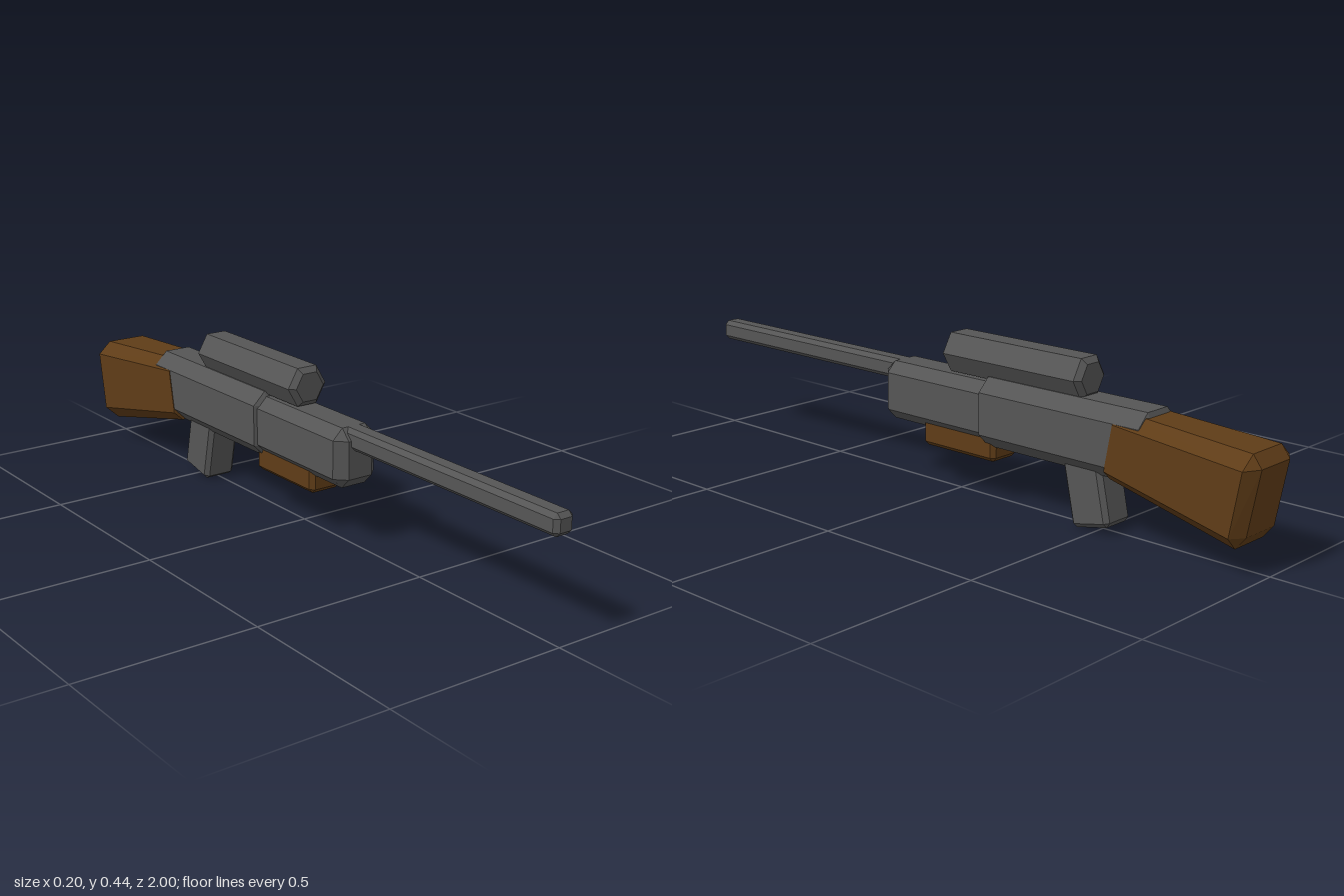
import * as THREE from 'three';
import { ConvexGeometry } from 'three/addons/geometries/ConvexGeometry.js';

const metal = new THREE.MeshStandardMaterial({ color: 0x555555, flatShading: true });
const wood = new THREE.MeshStandardMaterial({ color: 0x5f3c17, flatShading: true });

// Box with all edges chamfered: hull of its six inset faces
function bevelBox(w, h, d, b, bz = b) {
  const pts = [];
  const [x, y, z] = [w / 2, h / 2, d / 2];
  for (const sx of [-1, 1]) for (const sy of [-1, 1]) for (const sz of [-1, 1]) {
    pts.push(
      new THREE.Vector3(sx * x, sy * (y - b), sz * (z - bz)),
      new THREE.Vector3(sx * (x - b), sy * y, sz * (z - bz)),
      new THREE.Vector3(sx * (x - b), sy * (y - b), sz * z)
    );
  }
  return new ConvexGeometry(pts);
}

// Hull of points mirrored across x = 0
function mirroredHull(points) {
  return new ConvexGeometry(points.flatMap(([x, y, z]) => [
    new THREE.Vector3(x, y, z), new THREE.Vector3(-x, y, z)
  ]));
}

export function createModel() {
  const group = new THREE.Group();
  const add = (name, geometry, material, y = 0, z = 0) => {
    const mesh = new THREE.Mesh(geometry, material);
    mesh.name = name;
    mesh.position.set(0, y, z);
    group.add(mesh);
    return mesh;
  };

  // Barrel, front housing and receiver along the z axis
  add('barrel', bevelBox(0.06, 0.058, 0.85, 0.012), metal, 0.309, 0.575);
  add('frontHousing', bevelBox(0.136, 0.166, 0.5, 0.03), metal, 0.255, 0);
  add('receiver', bevelBox(0.154, 0.19, 0.557, 0.037, 0.016), metal, 0.257, -0.3965);

  // Wooden grip under the front housing
  add('foreGrip', bevelBox(0.1, 0.1, 0.265, 0.012), wood, 0.169, -0.03);

  // Slanted lower grip
  add('lowerGrip', bevelBox(0.1, 0.24, 0.122, 0.012), metal, 0.133, -0.468).rotation.x = 0.21;

  // Hexagonal scope with chamfered ends
  const scopeProfile = [[0, -0.24], [0.045, -0.24], [0.062, -0.226],
    [0.062, 0.226], [0.045, 0.24], [0, 0.24]].map(([r, l]) => new THREE.Vector2(r, l));
  const scope = new THREE.LatheGeometry(scopeProfile, 6, Math.PI / 6 * 3).rotateX(Math.PI / 2);
  add('scope', scope, metal, 0.396, -0.215);

  // Flared stock: front section, rear section, chamfered butt face
  add('stock', mirroredHull([
    [0.047, 0.344, -0.585], [0.079, 0.313, -0.58], [0.079, 0.188, -0.557], [0.05, 0.162, -0.556],
    [0.06, 0.317, -0.975], [0.1, 0.282, -0.973], [0.1, 0.112, -0.943], [0.06, 0.075, -0.938],
    [0.06, 0.284, -1], [0.06, 0.11, -0.967]
  ]), wood);

  return group;
}
